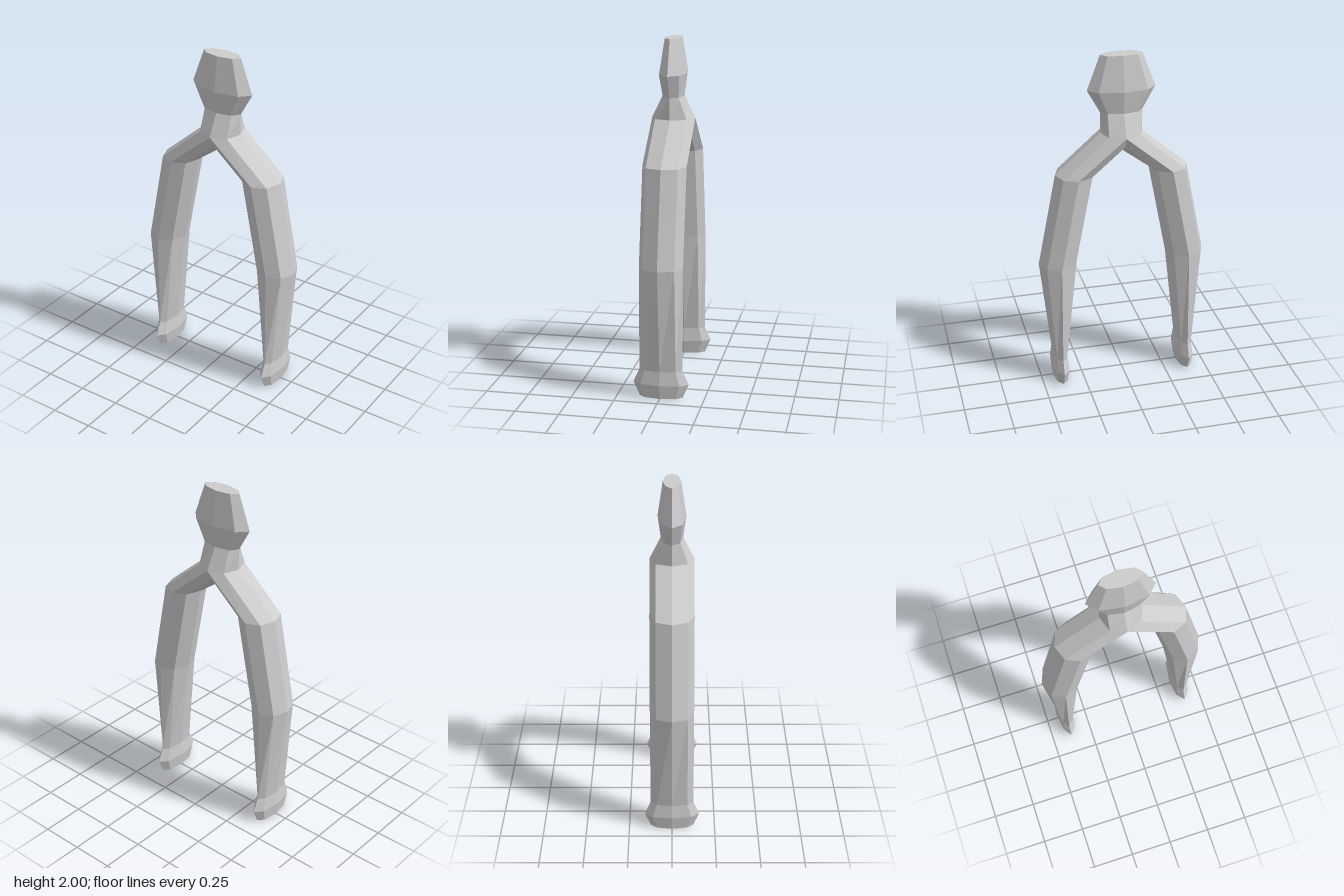
import * as THREE from 'three';

// Eight-sided ring, counterclockwise from above: side, diagonal, back, ... front, diagonal
function ring(cx, y, hx, dx, hz, dz) {
  return [[hx, 0], [dx, -dz], [0, -hz], [-dx, -dz], [-hx, 0], [-dx, dz], [0, hz], [dx, dz]]
    .map(([x, z]) => [cx + x, y, z]);
}

// Skin a list of rings from bottom to top, with optional flat end caps
function loft(rings, capBottom, capTop) {
  const pos = [];
  const tri = (a, b, c) => pos.push(...a, ...b, ...c);
  for (let r = 0; r < rings.length - 1; r++) {
    const lo = rings[r], up = rings[r + 1];
    for (let i = 0; i < 8; i++) {
      const j = (i + 1) % 8;
      tri(lo[i], lo[j], up[j]);
      tri(lo[i], up[j], up[i]);
    }
  }
  const first = rings[0], last = rings[rings.length - 1];
  for (let i = 1; i < 7; i++) {
    if (capBottom) tri(first[0], first[i + 1], first[i]);
    if (capTop) tri(last[0], last[i], last[i + 1]);
  }
  const geo = new THREE.BufferGeometry();
  geo.setAttribute('position', new THREE.Float32BufferAttribute(pos, 3));
  geo.computeVertexNormals();
  return geo;
}

// Mirror across x = 0, reversing each ring to keep faces outward
const mirror = (rings) => rings.map((r) => r.map(([x, y, z]) => [-x, y, z]).reverse());

export function createModel() {
  const model = new THREE.Group();
  model.name = 'wishbone';
  const bone = new THREE.MeshStandardMaterial({ color: 0xcccccc, flatShading: true });
  bone.name = 'bone grey';

  const add = (name, geo) => {
    const mesh = new THREE.Mesh(geo, bone);
    mesh.name = name;
    model.add(mesh);
  };

  // Feet: flared knuckles, wide front to back
  const ankle = ring(0.385, 0.16, 0.042, 0.03, 0.125, 0.09);
  const foot = [
    ring(0.385, 0, 0.043, 0.03, 0.125, 0.09),
    ring(0.385, 0.08, 0.053, 0.037, 0.16, 0.112),
    ankle,
  ];

  // Legs: bowed prongs that meet in a slanted joint on the centre plane
  const joint = [
    [0.12, 1.545, 0], [0.09, 1.545, -0.09], [0, 1.545, -0.125], [0, 1.48, -0.09],
    [0, 1.435, 0], [0, 1.48, 0.09], [0, 1.545, 0.125], [0.09, 1.545, 0.09],
  ];
  const leg = [
    ankle,
    ring(0.38, 0.765, 0.113, 0.08, 0.125, 0.09),
    ring(0.273, 1.315, 0.112, 0.08, 0.125, 0.09),
    joint,
  ];

  add('leftFoot', loft(foot, true, false));
  add('rightFoot', loft(mirror(foot), true, false));
  add('leftLeg', loft(leg, false, false));
  add('rightLeg', loft(mirror(leg), false, false));

  // Neck and flattened head
  const collar = ring(0, 1.67, 0.122, 0.088, 0.063, 0.045);
  add('neck', loft([ring(0, 1.545, 0.12, 0.09, 0.125, 0.09), collar], false, false));
  add('head', loft([
    collar,
    ring(0, 1.8, 0.195, 0.14, 0.08, 0.057),
    ring(0, 2, 0.12, 0.086, 0.05, 0.035),
  ], false, true));

  return model;
}
